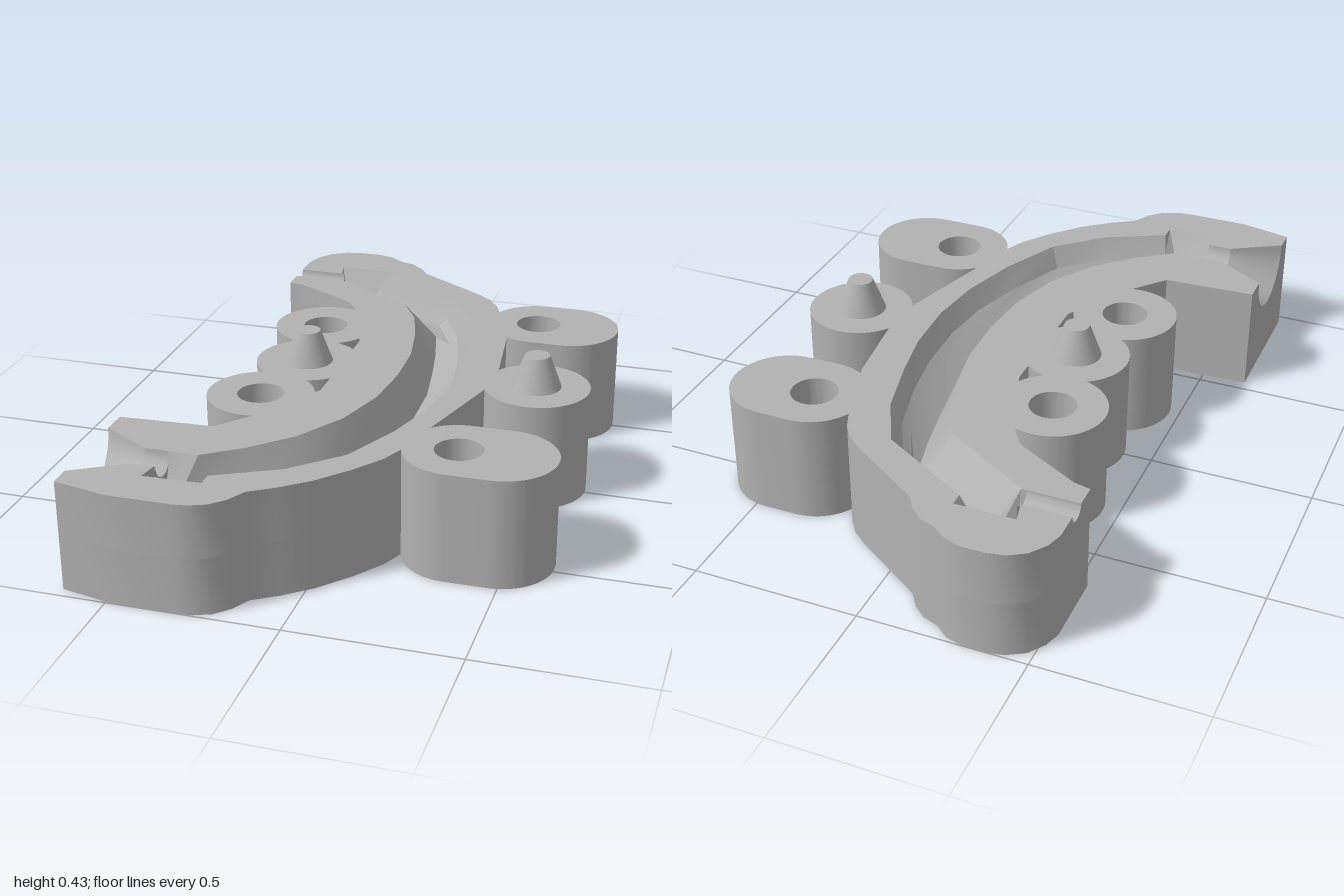
import * as THREE from 'three';
import { toCreasedNormals } from 'three/addons/utils/BufferGeometryUtils.js';

const TOP = 0.33, SLAB = 0.17;

export function createModel() {
  const model = new THREE.Group();
  const grey = new THREE.MeshStandardMaterial({ color: 0xb2b2b2 });
  const cavityGrey = new THREE.MeshStandardMaterial({ color: 0xb2b2b2, side: THREE.DoubleSide });
  grey.name = 'grey';
  cavityGrey.name = 'cavity grey';

  const add = (name, geometry, material = grey) => {
    const mesh = new THREE.Mesh(geometry, material);
    mesh.name = name;
    model.add(mesh);
    return mesh;
  };

  // Extrude a plan shape (drawn as x, -z) from y0 up to y1
  const slab = (shape, y0, y1) => {
    const g = new THREE.ExtrudeGeometry(shape, { depth: y1 - y0, bevelEnabled: false, curveSegments: 24 });
    g.rotateX(-Math.PI / 2).translate(0, y0, 0);
    return toCreasedNormals(g, 0.6);
  };
  const plan = (pts) => new THREE.Shape(pts.map(([x, z]) => new THREE.Vector2(x, -z)));

  // Skin between rows of [x, y, z] points
  const loft = (rows, crease) => {
    const pos = [];
    for (let i = 0; i < rows.length - 1; i++) {
      for (let j = 0; j < rows[i].length - 1; j++) {
        const a = rows[i][j], b = rows[i][j + 1], c = rows[i + 1][j + 1], d = rows[i + 1][j];
        pos.push(...a, ...b, ...c, ...a, ...c, ...d);
      }
    }
    const g = new THREE.BufferGeometry();
    g.setAttribute('position', new THREE.Float32BufferAttribute(pos, 3));
    g.computeVertexNormals();
    // face upwards
    let up = 0;
    for (let i = 0; i < g.attributes.normal.count; i++) up += g.attributes.normal.getY(i);
    if (up < 0) {
      for (let i = 0; i < pos.length; i += 9) {
        for (let k = 0; k < 3; k++) [pos[i + 3 + k], pos[i + 6 + k]] = [pos[i + 6 + k], pos[i + 3 + k]];
      }
      g.setAttribute('position', new THREE.Float32BufferAttribute(pos, 3));
      g.computeVertexNormals();
    }
    return toCreasedNormals(g, crease);
  };

  // Outer side of the curved body, back end to front end
  const outerEdge = [
    [-0.53, -0.86], [-0.515, -0.91], [-0.48, -0.96], [-0.43, -0.99], [-0.38, -1], [-0.31, -1],
    [-0.26, -0.985], [-0.215, -0.95], [-0.17, -0.935], [-0.13, -0.9], [-0.1, -0.855],
    [0.12, -0.71], [0.17, -0.67], [0.205, -0.62], [0.23, -0.56], [0.3, -0.34], [0.33, -0.1],
    [0.32, 0.07], [0.24, 0.35], [0.195, 0.52], [0.165, 0.59], [0.1, 0.68], [0.02, 0.77],
    [-0.06, 0.835], [-0.13, 0.88], [-0.16, 0.935], [-0.2, 0.975], [-0.25, 0.995], [-0.29, 1],
    [-0.48, 1], [-0.64, 0.965],
  ];
  // Inner side of the curved body, front end to back end
  const innerEdge = [
    [-0.64, 0.54], [-0.36, 0.525], [-0.28, 0.43], [-0.2, 0.3], [-0.145, 0.2],
    [-0.145, -0.2], [-0.2, -0.38], [-0.24, -0.46], [-0.28, -0.52], [-0.48, -0.63], [-0.53, -0.64],
  ];

  // Cavity cross-sections: inner rim, floor, ledge start, ledge end, outer rim
  const sections = [
    [[-0.36, -0.71], [-0.36, -0.74], [-0.365, -0.76], [-0.38, -0.8], [-0.4, -0.84]],
    [[-0.36, -0.71], [-0.31, -0.775], [-0.29, -0.785], [-0.26, -0.8], [-0.22, -0.84]],
    [[-0.345, -0.7], [-0.28, -0.77], [-0.27, -0.78], [-0.245, -0.785], [-0.22, -0.8]],
    [[-0.09, -0.545], [0, -0.61], [0.01, -0.615], [0.035, -0.62], [0.06, -0.635]],
    [[-0.03, -0.44], [0.04, -0.45], [0.085, -0.46], [0.11, -0.465], [0.14, -0.475]],
    [[0.01, -0.3], [0.07, -0.29], [0.125, -0.29], [0.155, -0.29], [0.185, -0.29]],
    [[0.04, -0.14], [0.095, -0.13], [0.15, -0.13], [0.18, -0.13], [0.215, -0.13]],
    [[0.045, 0.03], [0.1, 0.04], [0.155, 0.05], [0.185, 0.05], [0.222, 0.05]],
    [[0.03, 0.2], [0.085, 0.21], [0.13, 0.215], [0.165, 0.22], [0.2, 0.225]],
    [[-0.02, 0.37], [0.03, 0.38], [0.085, 0.395], [0.11, 0.4], [0.145, 0.41]],
    [[-0.11, 0.52], [-0.05, 0.54], [0.01, 0.56], [0.035, 0.575], [0.06, 0.595]],
    [[-0.22, 0.63], [-0.18, 0.66], [-0.12, 0.69], [-0.1, 0.7], [-0.075, 0.725]],
    [[-0.33, 0.71], [-0.36, 0.755], [-0.3, 0.78], [-0.27, 0.795], [-0.26, 0.82]],
    [[-0.35, 0.71], [-0.38, 0.77], [-0.34, 0.8], [-0.29, 0.83], [-0.26, 0.865]],
    [[-0.42, 0.71], [-0.42, 0.76], [-0.42, 0.79], [-0.42, 0.82], [-0.43, 0.87]],
  ];
  const depths = [TOP, 0.2, 0.24, 0.265, TOP];
  const innerRim = sections.map((s) => s[0]).slice(1);
  const outerRim = sections.map((s) => s[4]).reverse();

  // Solid base, then the two halves standing on either side of the cavity
  add('bodyBase', slab(plan([...outerEdge, ...innerEdge]), 0, SLAB));
  add('outerBody', slab(plan([
    [-0.53, -0.775], ...outerEdge, [-0.64, 0.9], [-0.49, 0.81], [-0.42, 0.81],
    ...outerRim, [-0.385, -0.775],
  ]), SLAB, TOP));
  add('innerBody', slab(plan([
    [-0.53, -0.71], ...innerRim, [-0.49, 0.71], [-0.64, 0.62], ...innerEdge,
  ]), SLAB, TOP));
  add('cavity', loft(sections.map((s) => s.map(([x, z], i) => [x, depths[i], z])), 0.3), cavityGrey);

  // Half-round channels leading out of the cavity, closed at both ends
  const channel = (name, z, stations) => {
    const arc = ([x, r], flat) => Array.from({ length: 17 }, (_, i) => {
      const t = (i / 16) * Math.PI;
      return [x, flat ? SLAB : TOP - r * Math.sin(t), z - r * Math.cos(t)];
    });
    const rows = stations.map((s) => arc(s, false));
    rows.unshift(arc(stations[0], true));
    rows.push(arc(stations[stations.length - 1], true));
    add(name, loft(rows, 0.5), cavityGrey);
  };
  channel('pouringFunnel', 0.76, [[-0.64, 0.14], [-0.49, 0.05], [-0.415, 0.05]]);
  channel('airVent', -0.7425, [[-0.53, 0.0325], [-0.375, 0.0325]]);

  // Lugs: rounded plan stretched from x0 to x1, with an optional bolt hole
  const R = 0.16;
  const lug = (name, x0, x1, z, holeX) => {
    const s = new THREE.Shape();
    s.absarc(x1, -z, R, -Math.PI / 2, Math.PI / 2, false);
    s.absarc(x0, -z, R, Math.PI / 2, Math.PI * 1.5, false);
    if (holeX !== undefined) {
      const hole = new THREE.Path();
      hole.absarc(holeX, -z, 0.07, 0, Math.PI * 2, true);
      s.holes.push(hole);
    }
    add(name, slab(s, 0, TOP));
  };
  lug('innerBackLug', -0.29, -0.29, -0.3, -0.29);
  lug('innerPinLug', -0.252, -0.252, -0.01);
  lug('innerFrontLug', -0.308, -0.308, 0.27, -0.308);
  lug('outerBackLug', 0.372, 0.47, -0.5, 0.372);
  lug('outerPinLug', 0.467, 0.467, -0.01);
  lug('outerFrontLug', 0.348, 0.47, 0.478, 0.348);

  // Tapered locating pins
  for (const [name, x] of [['innerPin', -0.252], ['outerPin', 0.465]]) {
    add(name, new THREE.CylinderGeometry(0.038, 0.075, 0.1, 32)).position.set(x, TOP + 0.05, -0.01);
  }
  return model;
}
